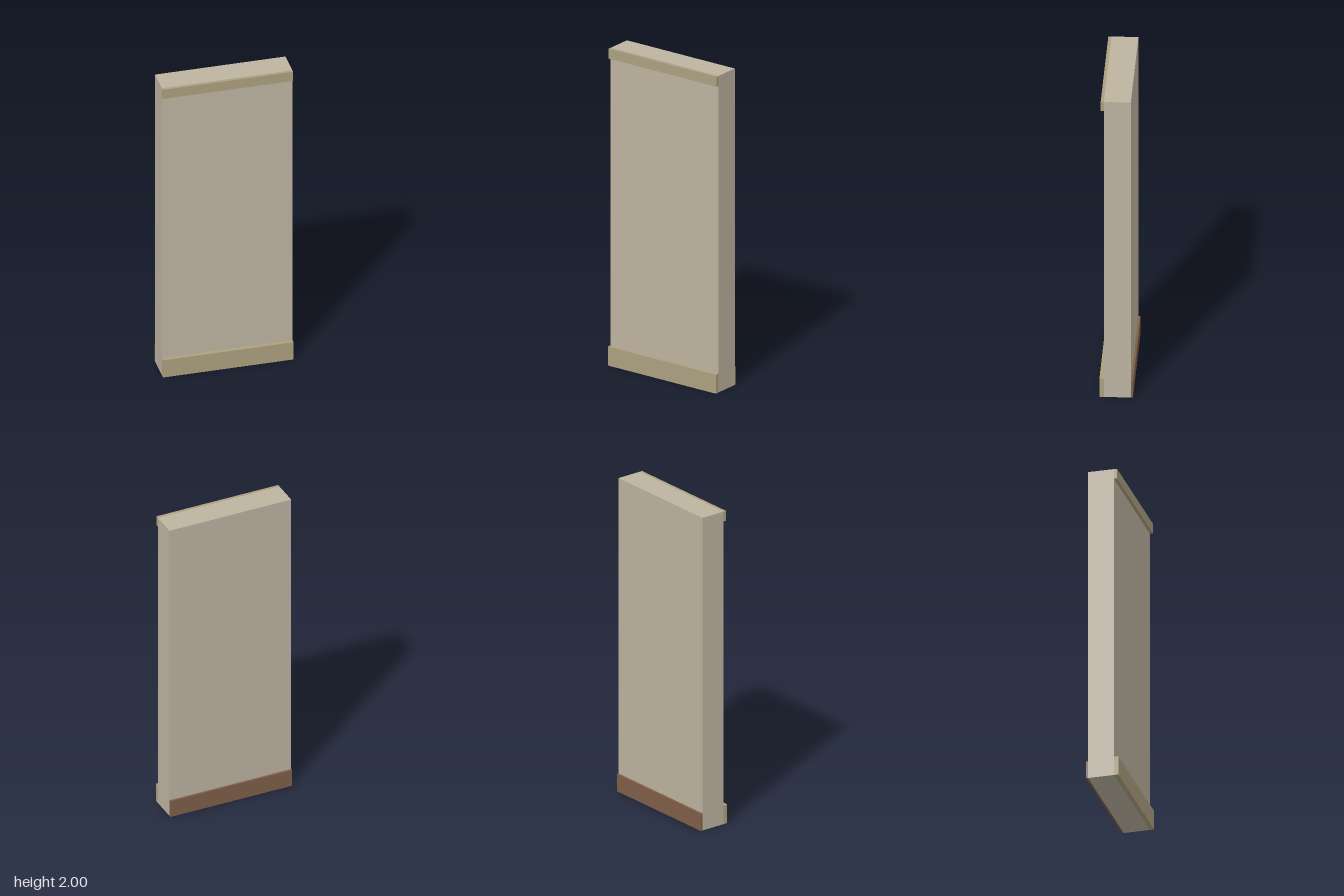
import * as THREE from 'three';

const WIDTH = 0.8;

// Full-width box given by its y and z extents
function slab(name, color, y0, y1, z0, z1) {
  const mesh = new THREE.Mesh(
    new THREE.BoxGeometry(WIDTH, y1 - y0, z1 - z0),
    new THREE.MeshStandardMaterial({ color })
  );
  mesh.position.set(0, (y0 + y1) / 2, (z0 + z1) / 2);
  mesh.name = name;
  return mesh;
}

export function createModel() {
  const group = new THREE.Group();
  group.name = 'wallPanel';

  const back = -0.087, front = 0.073;
  group.add(
    slab('wall', 0xbdb3a0, 0, 2, back, front),
    // Front trims along the top and the foot
    slab('topTrim', 0xaca080, 1.937, 2, front, 0.092),
    slab('plinth', 0xaca080, 0, 0.12, front, 0.1),
    // Wooden skirting on the rear face
    slab('skirtingBoard', 0x7f5f48, 0, 0.11, -0.1, back)
  );
  return group;
}
